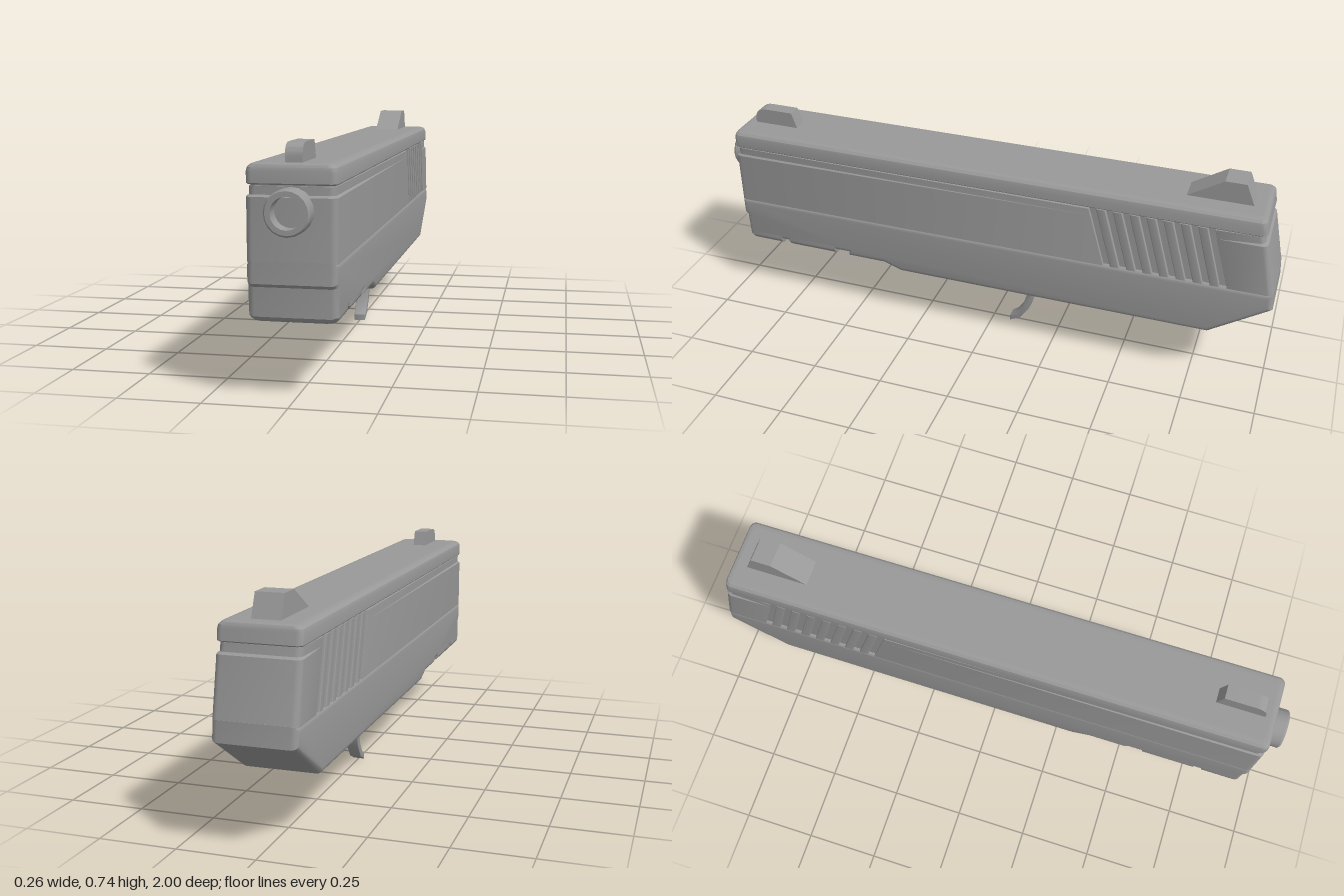
import * as THREE from 'three';
import { toCreasedNormals } from 'three/addons/utils/BufferGeometryUtils.js';

const material = new THREE.MeshStandardMaterial({ color: 0x999999 });

function addMesh(group, name, geometry) {
  const mesh = new THREE.Mesh(geometry, material);
  mesh.name = name;
  group.add(mesh);
}

// Plan outline at one height: rounded corners, optionally a different half width at the back
function planLoop([y, hw, zFront, zBack, hwBack = hw], rFront, rBack) {
  const steps = 4, loop = [];
  const corners = [[-1, 1, Math.PI], [1, 1, Math.PI / 2], [1, -1, 0], [-1, -1, -Math.PI / 2]];
  for (const [sx, sz, start] of corners) {
    const r = sz > 0 ? rFront : rBack;
    const cx = sx * ((sz > 0 ? hw : hwBack) - r), cz = sz > 0 ? zFront - r : zBack + r;
    for (let i = 0; i <= steps; i++) {
      const a = start - (i / steps) * Math.PI / 2;
      loop.push([cx + r * Math.cos(a), y, cz + r * Math.sin(a)]);
    }
  }
  return loop;
}

// Solid stacked from levels [y, halfWidth, zFront, zBack, halfWidthBack], bottom to top
function stack(levels, rFront = 0.02, rBack = 0.02) {
  const loops = levels.map((l) => planLoop(l, rFront, rBack));
  const n = loops[0].length, top = loops.length - 1, pos = [], index = [];
  loops.forEach((loop) => loop.forEach((p) => pos.push(...p)));
  for (let i = 0; i < top; i++) {
    for (let j = 0; j < n; j++) {
      const a = i * n + j, b = i * n + (j + 1) % n;
      index.push(a, b, b + n, a, b + n, a + n);
    }
  }
  for (const i of [0, top]) {
    const [y, , zf, zb] = levels[i], c = pos.length / 3;
    pos.push(0, y, (zf + zb) / 2);
    for (let j = 0; j < n; j++) {
      const a = i * n + j, b = i * n + (j + 1) % n;
      if (i) index.push(c, a, b); else index.push(c, b, a);
    }
  }
  const g = new THREE.BufferGeometry();
  g.setAttribute('position', new THREE.Float32BufferAttribute(pos, 3));
  g.setIndex(index);
  return toCreasedNormals(g, 0.45);
}

const polygon = (points) => new THREE.Shape(points.map(([z, y]) => new THREE.Vector2(z, y)));

// Side silhouette in (z, y) extruded across the width, with rounded edges
function sideExtrude(shape, width, bevel) {
  const g = new THREE.ExtrudeGeometry(shape, {
    depth: width - 2 * bevel, bevelEnabled: bevel > 0, bevelSize: bevel,
    bevelThickness: bevel, bevelOffset: -bevel, bevelSegments: 4, curveSegments: 8,
  });
  g.translate(0, 0, -(width - 2 * bevel) / 2);
  g.rotateY(-Math.PI / 2);
  return g;
}

export function createModel() {
  const model = new THREE.Group();
  model.name = 'pistolUpper';

  // Lower frame with sloped tail, stepped nose and rounded edges
  const frame = polygon([
    [-0.8, 0.202], [0.32, 0.202], [0.385, 0.225], [0.53, 0.225], [0.53, 0.24], [0.937, 0.24],
    [0.94, 0.325], [0.95, 0.335], [0.95, 0.4], [-0.995, 0.4], [-1, 0.335],
  ]);
  addMesh(model, 'frame', toCreasedNormals(sideExtrude(frame, 0.26, 0.02), 0.42));

  // Accessory rail pads under the nose
  for (const [zFront, zBack, rFront] of [[0.9365, 0.8, 0.02], [0.77, 0.58, 0.001]]) {
    addMesh(model, 'railPad', stack([
      [0.225, 0.11, zFront - 0.014, zBack], [0.227, 0.118, zFront - 0.011, zBack],
      [0.233, 0.125, zFront - 0.006, zBack], [0.243, 0.1297, zFront, zBack],
      [0.262, 0.1297, zFront, zBack],
    ], rFront, 0.001));
  }

  // Recessed core seen in the seams and serration slots
  addMesh(model, 'slideCore', stack([
    [0.37, 0.119, 0.938, -0.98], [0.4, 0.119, 0.938, -0.978], [0.63, 0.119, 0.938, -0.935],
  ]));

  // Slide body: the upper groove fades out from each end towards the middle
  addMesh(model, 'slideFront', stack([
    [0.395, 0.13, 0.95, -0.43], [0.577, 0.13, 0.95, -0.379],
    [0.583, 0.124, 0.942, -0.377, 0.13], [0.607, 0.124, 0.942, -0.37, 0.13],
  ], 0.02, 0.001));
  addMesh(model, 'slideRear', stack([
    [0.395, 0.13, -0.846, -0.995], [0.577, 0.13, -0.794, -0.956],
    [0.583, 0.13, -0.793, -0.945, 0.124], [0.609, 0.13, -0.786, -0.94, 0.124],
  ], 0.001, 0.02));

  // Slanted grip ribs between the slots
  for (let i = 0; i < 7; i++) {
    const z = -0.394 - 0.056 * i;
    addMesh(model, 'gripRib', stack([
      [0.395, 0.13, z - 0.06, z - 0.092], [0.61, 0.13, z, z - 0.032],
    ], 0.003, 0.003));
  }

  // Rounded top of the slide
  addMesh(model, 'slideTop', stack([
    [0.611, 0.126, 0.945, -0.945], [0.615, 0.13, 0.95, -0.95], [0.648, 0.13, 0.95, -0.945],
    [0.659, 0.127, 0.948, -0.943], [0.667, 0.119, 0.943, -0.938], [0.67, 0.108, 0.935, -0.93],
    [0.67, 0.1, 0.927, -0.922],
  ]));

  // Hollow muzzle ring
  const ring = [[0.066, 0], [0.066, 0.054], [0.061, 0.06], [0.046, 0.06], [0.046, 0]];
  const muzzle = new THREE.LatheGeometry(ring.map(([r, h]) => new THREE.Vector2(r, h)), 20);
  muzzle.rotateX(Math.PI / 2);
  muzzle.translate(0, 0.54, 0.94);
  addMesh(model, 'muzzle', toCreasedNormals(muzzle, 0.5));

  // Front sight with rounded leading edge
  const front = polygon([[0.745, 0.665], [0.91, 0.665], [0.91, 0.685]]);
  front.quadraticCurveTo(0.908, 0.724, 0.868, 0.725);
  front.lineTo(0.765, 0.725);
  addMesh(model, 'frontSight', toCreasedNormals(sideExtrude(front, 0.05, 0), 0.5));

  // Wedge-shaped rear sight
  const rear = polygon([[-0.892, 0.665], [-0.665, 0.665], [-0.79, 0.742], [-0.86, 0.742]]);
  addMesh(model, 'rearSight', sideExtrude(rear, 0.09, 0));

  // Curved trigger, narrowing towards the tip
  const trigger = polygon([
    [-0.145, 0.215], [-0.158, 0.165], [-0.158, 0.13], [-0.14, 0.07], [-0.108, 0.022], [-0.067, 0.001],
    [-0.067, 0.022], [-0.09, 0.038], [-0.115, 0.075], [-0.133, 0.135], [-0.128, 0.175], [-0.105, 0.215],
  ]);
  const blade = sideExtrude(trigger, 0.05, 0.003);
  const p = blade.attributes.position;
  for (let i = 0; i < p.count; i++) {
    p.setX(i, p.getX(i) * THREE.MathUtils.mapLinear(Math.min(p.getY(i), 0.2), 0, 0.2, 0.8, 1));
  }
  addMesh(model, 'trigger', toCreasedNormals(blade, 0.6));

  return model;
}
